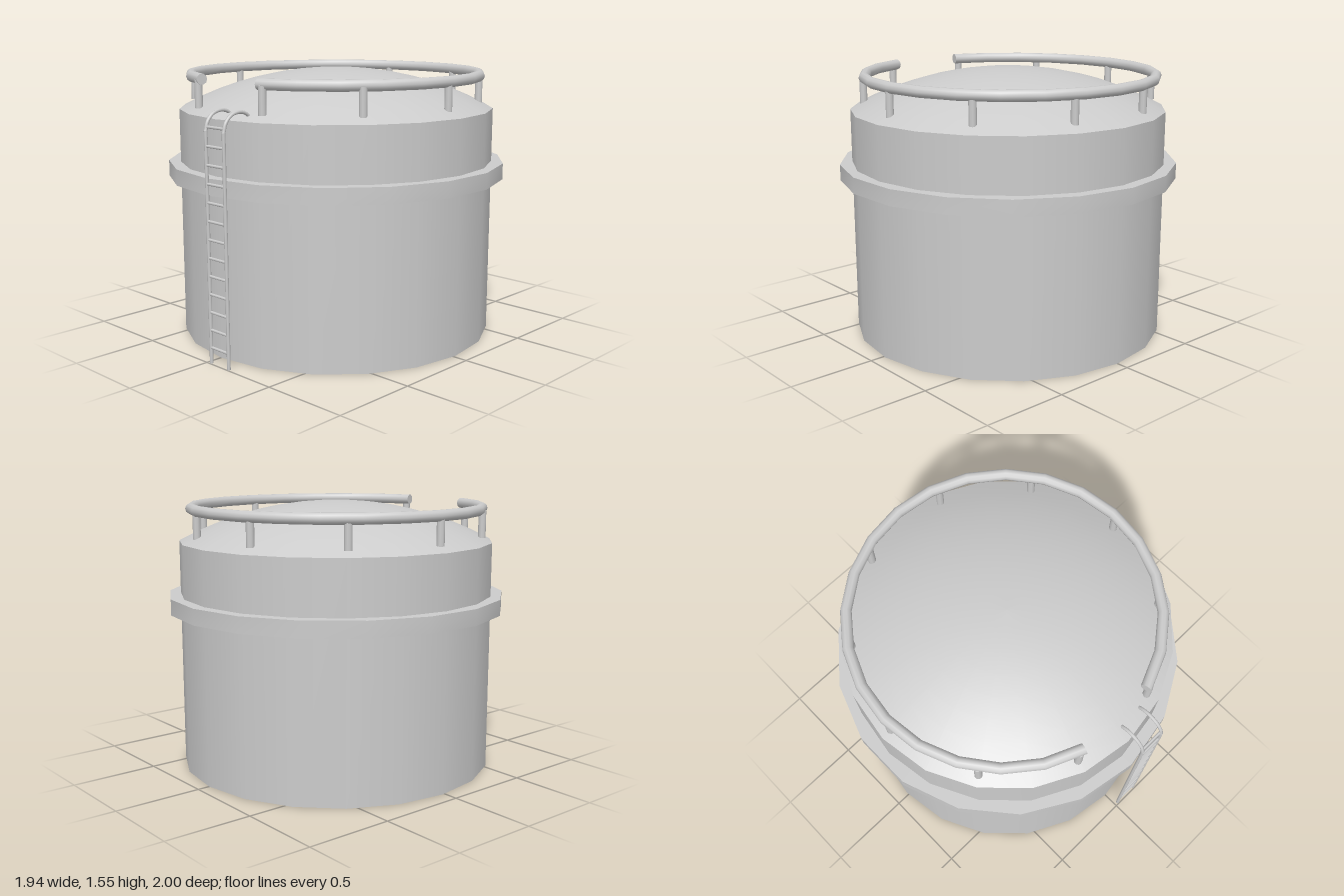
import * as THREE from 'three';
import { toCreasedNormals } from 'three/addons/utils/BufferGeometryUtils.js';

const CZ = -0.015; // tank axis
const mat = new THREE.MeshStandardMaterial({ color: 0xcccccc });

function add(parent, name, geometry, x = 0, y = 0, z = 0) {
  const mesh = new THREE.Mesh(geometry, mat);
  mesh.name = name;
  mesh.position.set(x, y, z);
  parent.add(mesh);
  return mesh;
}

export function createModel() {
  const model = new THREE.Group();
  model.name = 'storageTank';

  // Tank wall with closed bottom
  const bodyR = 0.915, eaveY = 1.32;
  add(model, 'tankBody', new THREE.CylinderGeometry(bodyR, bodyR, eaveY, 20), 0, eaveY / 2, CZ);

  // Domed roof: shallow spherical cap
  const rise = 0.228;
  const capR = (bodyR * bodyR + rise * rise) / (2 * rise);
  const capAngle = Math.asin(bodyR / capR);
  const profile = [];
  for (let i = 0; i <= 8; i++) {
    const a = capAngle * (1 - i / 8);
    profile.push(new THREE.Vector2(capR * Math.sin(a), eaveY + rise - capR * (1 - Math.cos(a))));
  }
  add(model, 'domedRoof', new THREE.LatheGeometry(profile, 20), 0, 0, CZ);

  // Reinforcing band
  const band = new THREE.CylinderGeometry(0.985, 0.985, 0.092, 18);
  add(model, 'reinforcingBand', toCreasedNormals(band, 0.6), 0, 0.968, CZ);

  // Guard rail: open ring with a gap at the ladder, on ten posts
  const guard = new THREE.Group();
  guard.name = 'guardRail';
  guard.position.set(-0.012, 0, -0.02);
  model.add(guard);
  const railR = 0.843, railY = 1.51, tubeR = 0.031, gap = 0.275;
  const arc = Math.PI * 2 - 2 * gap;
  const ring = new THREE.TorusGeometry(railR, tubeR, 10, 22, arc);
  ring.rotateX(Math.PI / 2);
  ring.rotateY(-Math.PI / 2 - gap);
  add(guard, 'railRing', ring, 0, railY, 0);
  for (const side of [-1, 1]) {
    const a = side * gap;
    const cap = new THREE.CircleGeometry(tubeR, 10);
    cap.rotateY(a - side * Math.PI / 2);
    add(guard, 'railEnd', cap, railR * Math.sin(a), railY, railR * Math.cos(a));
  }
  for (let i = 0; i < 10; i++) {
    const a = (i + 0.5) * Math.PI / 5;
    add(guard, 'railPost', new THREE.CylinderGeometry(0.022, 0.022, 0.155, 10),
      railR * Math.sin(a), 1.4275, railR * Math.cos(a) + 0.01);
  }

  // Ladder: two stringers hooked over the eave, with rungs
  const ladder = new THREE.Group();
  ladder.name = 'ladder';
  ladder.position.x = 0.097;
  model.add(ladder);
  const ladderZ = 0.987, halfW = 0.072, barR = 0.01;
  const P = (y, z) => new THREE.Vector3(0, y, z);
  const hook = new THREE.CatmullRomCurve3([
    P(1.27, ladderZ), P(1.32, 0.972), P(1.357, 0.935), P(1.371, 0.88), P(1.362, 0.84), P(1.335, 0.805),
  ]);
  for (const side of [-1, 1]) {
    add(ladder, 'stringer', new THREE.CylinderGeometry(barR, barR, 1.27, 8), side * halfW, 0.635, ladderZ);
    add(ladder, 'stringerHook', new THREE.TubeGeometry(hook, 14, barR, 8), side * halfW, 0, 0);
  }
  for (let i = 0; i < 13; i++) {
    const rung = new THREE.CylinderGeometry(0.008, 0.008, 2 * halfW, 8);
    rung.rotateZ(Math.PI / 2);
    add(ladder, 'rung', rung, 0, 0.09 + i * 0.1, i === 12 ? 0.98 : ladderZ);
  }
  return model;
}
